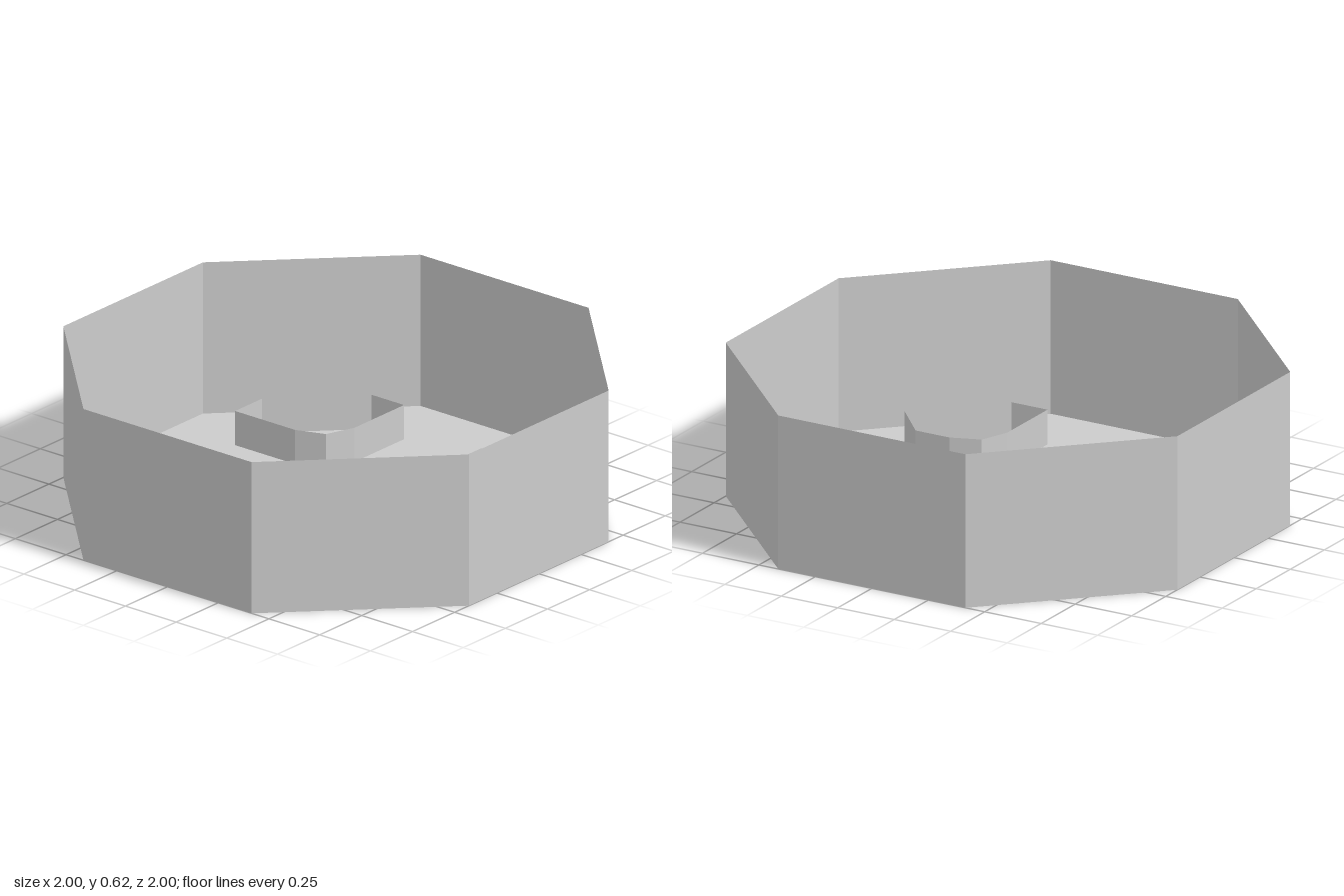
import * as THREE from 'three';

const HEIGHT = 0.62;
const RING_HEIGHT = 0.14;

const grey = new THREE.MeshStandardMaterial({
  color: 0xcccccc, flatShading: true, side: THREE.DoubleSide,
});
grey.name = 'grey';

// Thin upright wall following a closed outline of [x, z] points
function wallLoop(points, height) {
  const pos = [];
  points.forEach(([x0, z0], i) => {
    const [x1, z1] = points[(i + 1) % points.length];
    pos.push(x0, 0, z0, x1, 0, z1, x1, height, z1);
    pos.push(x0, 0, z0, x1, height, z1, x0, height, z0);
  });
  const g = new THREE.BufferGeometry();
  g.setAttribute('position', new THREE.Float32BufferAttribute(pos, 3));
  g.computeVertexNormals();
  return g;
}

// Outline of one low ring; each side corner is either square or cut
function ringOutline(sx, sz, cutX, cutZ) {
  const a = 0.25, b = 0.41, c = 0.56, d = 0.705, k = 0.293;
  const pts = [[k, k], [b, a]];
  pts.push(...(cutX ? [[c, a]] : [[d, a]]));
  pts.push([d, b], [b, d]);
  pts.push(...(cutZ ? [[a, c]] : [[a, d]]));
  pts.push([a, b]);
  const out = pts.map(([x, z]) => [x * sx, z * sz]);
  return sx * sz > 0 ? out.reverse() : out;
}

export function createModel() {
  const model = new THREE.Group();
  model.name = 'octagonalTray';
  const add = (name, geometry) => {
    const mesh = new THREE.Mesh(geometry, grey);
    mesh.name = name;
    model.add(mesh);
    return mesh;
  };

  // Octagon with flat sides facing the axes
  const octagon = [];
  for (let i = 0; i < 8; i++) {
    const t = Math.PI / 8 + (i * Math.PI) / 4;
    const r = 1 / Math.cos(Math.PI / 8);
    octagon.push([r * Math.sin(t), r * Math.cos(t)]);
  }
  add('outerWall', wallLoop(octagon, HEIGHT));

  // Floor sheet
  const shape = new THREE.Shape(octagon.map(([x, z]) => new THREE.Vector2(x, -z)));
  add('floor', new THREE.ShapeGeometry(shape).rotateX(-Math.PI / 2));

  // Four low rings, one in each quarter of the floor
  const rings = [
    ['backRightRing', -1, -1, false, false],
    ['frontLeftRing', 1, 1, true, false],
    ['backLeftRing', 1, -1, false, true],
    ['frontRightRing', -1, 1, false, true],
  ];
  for (const [name, sx, sz, cutX, cutZ] of rings) {
    add(name, wallLoop(ringOutline(sx, sz, cutX, cutZ), RING_HEIGHT));
  }
  return model;
}
